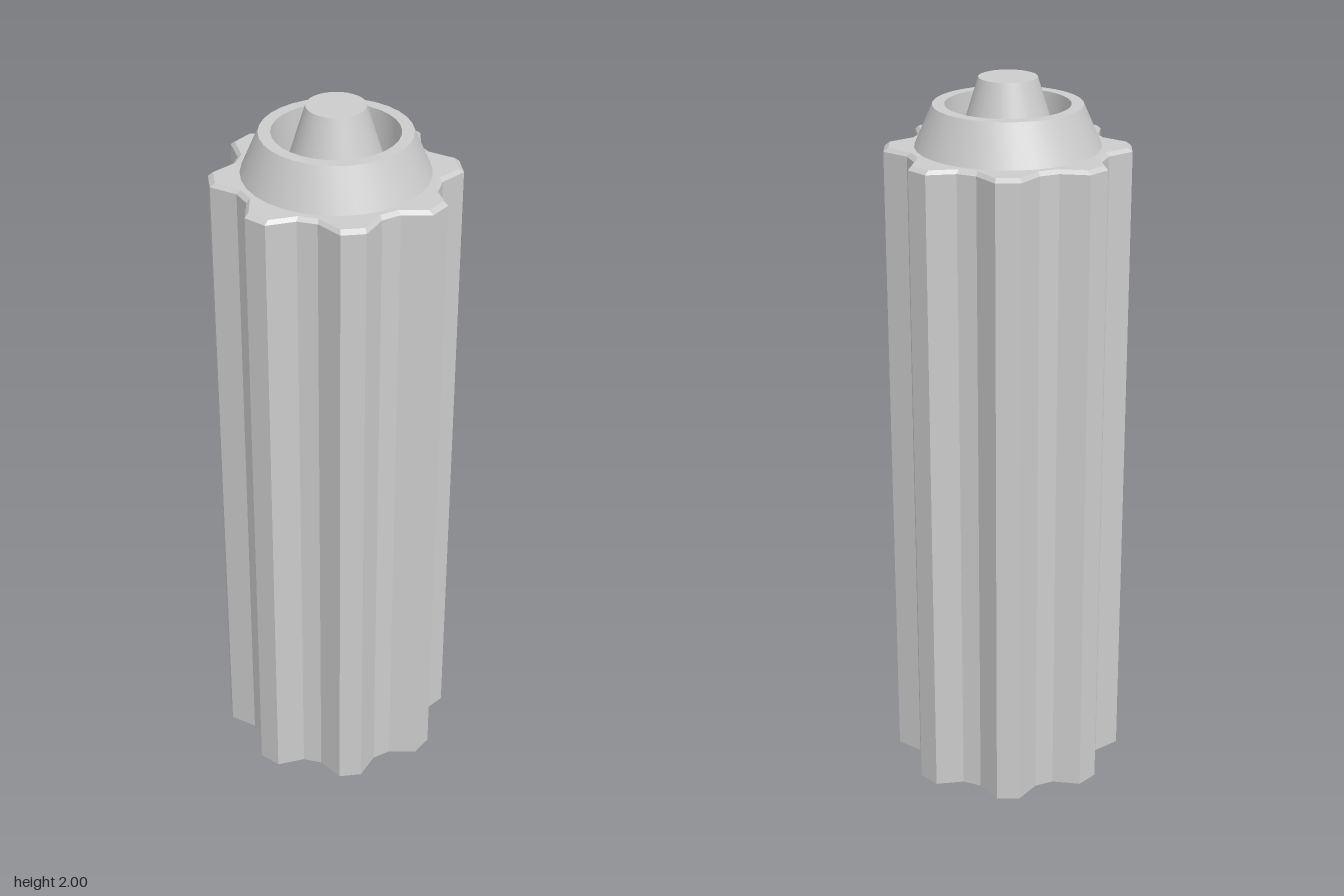
import * as THREE from 'three';
import { toCreasedNormals } from 'three/addons/utils/BufferGeometryUtils.js';

const SIDES = 32;
const profile = (pairs) => pairs.map(([r, y]) => new THREE.Vector2(r, y));

export function createModel() {
  const group = new THREE.Group();
  group.name = 'flutedPost';

  // Fluted body: a hollow lathe, open below, whose unit-radius rings are
  // pushed into eight flat-topped teeth (four steps per tooth)
  const rings = profile([[1, 0], [1, 1.81], [0.96, 1.82], [0.245, 1.82]]);
  const body = new THREE.LatheGeometry(rings, SIDES);
  const toothRadius = [0.272, 0.272, 0.325, 0.325];
  const pos = body.attributes.position;
  for (let i = 0; i < pos.count; i++) {
    if (i % rings.length === rings.length - 1) continue; // round inner ring stays
    const r = toothRadius[Math.floor(i / rings.length) % 4];
    pos.setX(i, pos.getX(i) * r);
    pos.setZ(i, pos.getZ(i) * r);
  }
  body.computeVertexNormals();
  const bodyMesh = new THREE.Mesh(body, new THREE.MeshStandardMaterial({
    color: 0xcccccc, flatShading: true, side: THREE.DoubleSide,
  }));
  bodyMesh.name = 'flutedBody';
  group.add(bodyMesh);

  const smooth = new THREE.MeshStandardMaterial({ color: 0xcccccc, side: THREE.DoubleSide });
  const addLathe = (name, pairs) => {
    const geo = toCreasedNormals(new THREE.LatheGeometry(profile(pairs), SIDES), 0.5);
    const mesh = new THREE.Mesh(geo, smooth);
    mesh.name = name;
    group.add(mesh);
  };

  // Tapered collar with a recess and its floor
  addLathe('collar', [[0.245, 1.82], [0.197, 1.93], [0.165, 1.93], [0.161, 1.82], [0.133, 1.82]]);
  // Tapered pin rising out of the recess
  addLathe('centrePin', [[0.133, 1.82], [0.077, 2], [0, 2]]);

  return group;
}
